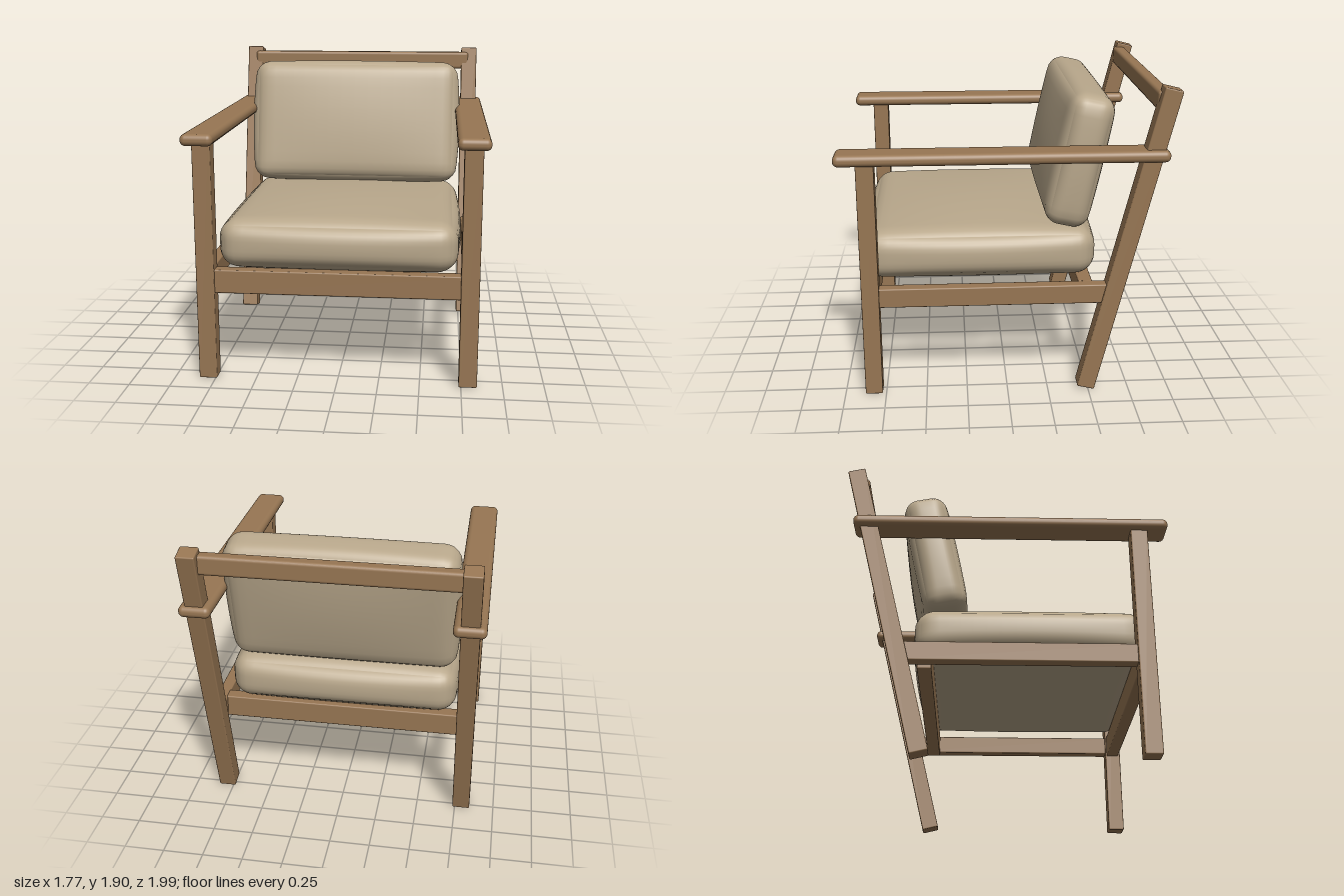
import * as THREE from 'three';
import { mergeVertices } from 'three/addons/utils/BufferGeometryUtils.js';
import { RoundedBoxGeometry } from 'three/addons/geometries/RoundedBoxGeometry.js';

const wood = new THREE.MeshStandardMaterial({ name: 'oak wood', color: 0x977653 });
const fabric = new THREE.MeshStandardMaterial({ name: 'beige fabric', color: 0xb8a78b });

// Softened wooden bar
function bar(name, size, position, radius = 0.008, segments = 2) {
  const mesh = new THREE.Mesh(new RoundedBoxGeometry(...size, segments, radius), wood);
  mesh.name = name;
  mesh.position.set(...position);
  return mesh;
}

// Rounded box whose faces swell in the middle; half = half sizes, swell = bulge per axis
function cushion(name, half, radius, swell) {
  const box = new THREE.BoxGeometry(2, 2, 2, 24, 16, 24);
  box.deleteAttribute('uv');
  box.deleteAttribute('normal');
  const geometry = mergeVertices(box);
  const points = geometry.attributes.position;
  const unit = new THREE.Vector3();
  const p = new THREE.Vector3();
  const inner = new THREE.Vector3();
  const limit = half.clone().subScalar(radius);
  for (let i = 0; i < points.count; i++) {
    unit.fromBufferAttribute(points, i);
    // Pack the vertices towards the edges
    for (const a of ['x', 'y', 'z']) unit[a] = Math.sin(unit[a] * Math.PI / 2);
    p.copy(unit).multiply(half);
    inner.copy(p).clamp(limit.clone().negate(), limit);
    p.sub(inner).setLength(radius).add(inner);
    const x = 1 - unit.x ** 2, y = 1 - unit.y ** 2, z = 1 - unit.z ** 2;
    p.x += swell.x * unit.x * y * z;
    p.y += swell.y * unit.y * x * z;
    p.z += swell.z * unit.z * x * y;
    points.setXYZ(i, p.x, p.y, p.z);
  }
  geometry.computeVertexNormals();
  const mesh = new THREE.Mesh(geometry, fabric);
  mesh.name = name;
  return mesh;
}

export function createModel() {
  const chair = new THREE.Group();
  chair.name = 'armchair';

  // Mirrored sides: legs, side rails and armrests
  for (const [side, s] of [['left', 1], ['right', -1]]) {
    chair.add(bar(side + 'FrontLeg', [0.11, 1.465, 0.105], [s * 0.79, 0.745, 0.823]));
    const rearLeg = bar(side + 'RearLeg', [0.11, 1.932, 0.109], [s * 0.79, 0.953, -0.712]);
    rearLeg.rotation.x = -0.2386;
    chair.add(rearLeg);
    chair.add(bar(side + 'SideRail', [0.075, 0.12, 1.4], [s * 0.79, 0.64, 0.1]));
    chair.add(bar(side + 'Armrest', [0.19, 0.07, 1.935], [s * 0.788, 1.505, 0.032], 0.032, 5));
  }

  // Cross rails
  chair.add(bar('frontRail', [1.52, 0.145, 0.08], [0, 0.628, 0.82]));
  chair.add(bar('rearRail', [1.52, 0.145, 0.085], [0, 0.628, -0.475]));
  chair.add(bar('topRail', [1.57, 0.12, 0.08], [0, 1.81, -0.9], 0.02, 3));

  // Cushions
  const seat = cushion('seatCushion', new THREE.Vector3(0.71, 0.15, 0.7), 0.11,
    new THREE.Vector3(0.027, 0.045, 0.03));
  seat.position.set(0, 0.85, 0.16);
  chair.add(seat);

  const back = cushion('backCushion', new THREE.Vector3(0.7, 0.41, 0.138), 0.095,
    new THREE.Vector3(0.025, 0.012, 0.03));
  back.position.set(0, 1.415, -0.44);
  back.rotation.x = -0.21;
  chair.add(back);

  return chair;
}
